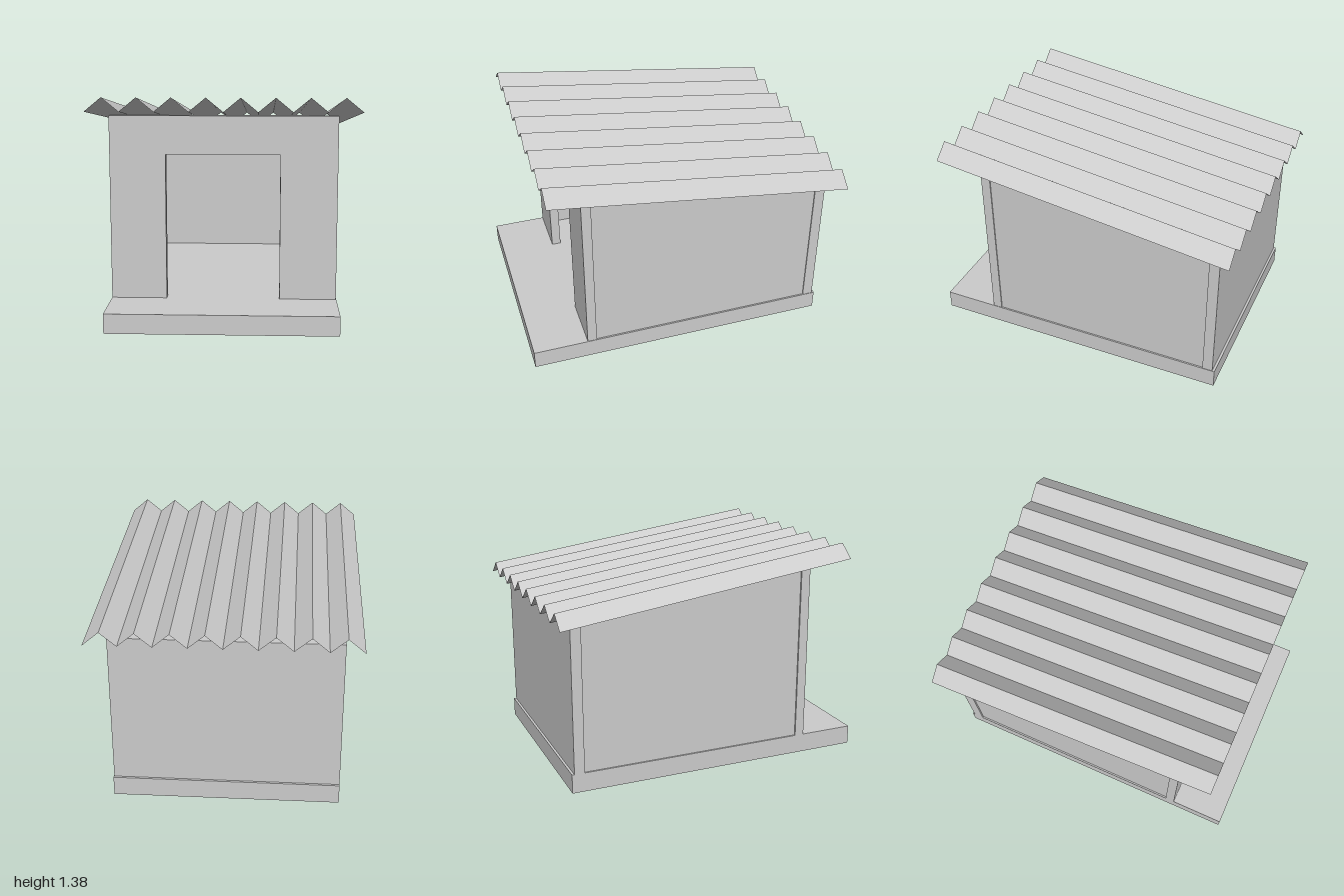
import * as THREE from 'three';

const material = new THREE.MeshStandardMaterial({ color: 0xcccccc, flatShading: true, side: THREE.DoubleSide });

// Adds a named mesh to the group
function add(group, name, geometry) {
  const mesh = new THREE.Mesh(geometry, material);
  mesh.name = name;
  group.add(mesh);
  return mesh;
}

// Extrudes an outline given as [x, y] pairs
function slab(points, depth) {
  const shape = new THREE.Shape(points.map(([x, y]) => new THREE.Vector2(x, y)));
  return new THREE.ExtrudeGeometry(shape, { depth, bevelEnabled: false });
}

// Corrugated sheet: a zigzag across x, sloping down towards the back
function corrugatedSheet(halfWidth, ridges, height, front, back) {
  const strips = ridges * 2;
  const sheet = new THREE.PlaneGeometry(halfWidth * 2, 1, strips, 1);
  const pos = sheet.attributes.position;
  for (let i = 0; i < pos.count; i++) {
    const column = i % (strips + 1);
    const end = i > strips ? front : back;
    pos.setXYZ(i, pos.getX(i), end.y + (column % 2) * height, end.z);
  }
  const flat = sheet.toNonIndexed();
  flat.computeVertexNormals();
  return flat;
}

export function createModel() {
  const group = new THREE.Group();
  group.name = 'shelter';

  const left = 0.685, right = -0.70, wallBottom = 0.11;

  // Base: box open underneath (the bottom face is left out of the index)
  const base = new THREE.BoxGeometry(left - right, 0.12, 1.925);
  const index = Array.from(base.index.array);
  index.splice(18, 6);
  base.setIndex(index);
  base.translate((left + right) / 2, 0.06, 0.0375);
  add(group, 'base', base);

  // Front wall with open doorway
  add(group, 'frontWall', slab([
    [right, wallBottom], [-0.36, wallBottom], [-0.36, 1.015], [0.335, 1.015],
    [0.335, wallBottom], [left - 0.003, wallBottom], [left - 0.003, 1.25], [right, 1.25],
  ], 0.06)).position.z = 0.592;

  // Back wall
  add(group, 'backWall', slab([
    [right, wallBottom], [left - 0.003, wallBottom], [left - 0.003, 1.052], [right, 1.052],
  ], 0.065)).position.z = -0.91;

  // Side walls with sloping tops, set in slightly from the corners
  for (const [name, x] of [['leftWall', left - 0.07], ['rightWall', right + 0.01]]) {
    const side = slab([[-0.592, wallBottom], [0.845, wallBottom], [0.845, 1.04], [-0.592, 1.24]], 0.06);
    side.rotateY(Math.PI / 2);
    add(group, name, side).position.x = x;
  }

  // Roof
  add(group, 'corrugatedRoof', corrugatedSheet(0.807, 8, 0.083, { y: 1.292, z: 0.873 }, { y: 1.04, z: -1 }));

  return group;
}
